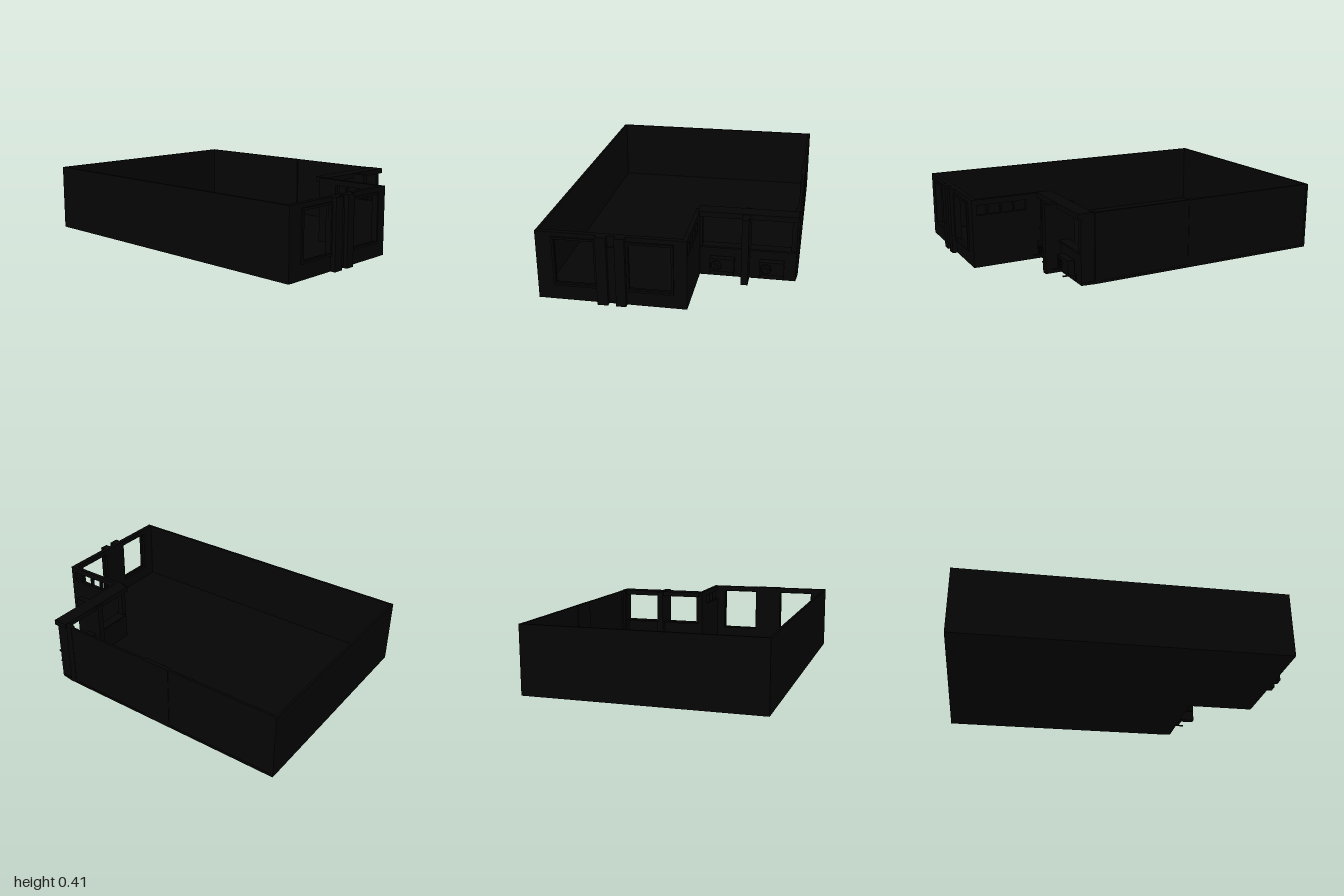
import * as THREE from 'three';

const black = new THREE.MeshStandardMaterial({ color: 0x050505 });
const H = 0.403; // wall height

export function createModel() {
  const model = new THREE.Group();

  const add = (geometry, name, parent = model) => {
    const mesh = new THREE.Mesh(geometry, black);
    mesh.name = name;
    parent.add(mesh);
    return mesh;
  };

  // Box given by its limits on each axis
  const box = (name, x0, x1, y0, y1, z0, z1, parent) => {
    const mesh = add(new THREE.BoxGeometry(x1 - x0, y1 - y0, z1 - z0), name, parent);
    mesh.position.set((x0 + x1) / 2, (y0 + y1) / 2, (z0 + z1) / 2);
    return mesh;
  };

  const rectangle = (Type, [x0, x1, y0, y1]) => new Type([
    new THREE.Vector2(x0, y0), new THREE.Vector2(x1, y0),
    new THREE.Vector2(x1, y1), new THREE.Vector2(x0, y1),
  ]);

  // Upright slab with rectangular openings
  const slab = (name, outline, openings, depth) => {
    const shape = rectangle(THREE.Shape, outline);
    openings.forEach((o) => shape.holes.push(rectangle(THREE.Path, o)));
    return add(new THREE.ExtrudeGeometry(shape, { depth, bevelEnabled: false }), name);
  };

  // L-shaped floor
  const plan = new THREE.Shape([
    [-0.7, 1], [0.695, 1], [0.695, -0.47], [0.685, -0.55], [0.13, -0.55], [0.13, -0.97], [-0.7, -0.97],
  ].map(([x, y]) => new THREE.Vector2(x, y)));
  const floor = add(new THREE.ExtrudeGeometry(plan, { depth: 0.015, bevelEnabled: false }), 'floor');
  floor.rotation.x = -Math.PI / 2;

  // Plain outer walls
  box('backWall', -0.7, 0.695, 0, H, -1, -0.985);
  box('leftSideWall', -0.7, -0.685, 0, H, -1, 0.97);
  box('rightSideWall', 0.677, 0.692, 0, H, -1, 0.47);
  box('rightWallColumn', 0.668, 0.695, 0, H, -0.3, -0.13);
  box('rightWallEndColumn', 0.665, 0.695, 0, H, 0.43, 0.47);
  box('rightCornerPost', 0.655, 0.685, 0, H, 0.47, 0.55);

  // Main front wall with two large windows
  const mainWindows = [[-0.6, -0.37, 0.095, 0.37], [-0.19, 0.05, 0.09, 0.37]];
  slab('mainFrontWall', [-0.7, 0.13, 0, H], mainWindows, 0.03).position.z = 0.94;
  mainWindows.forEach(([x0, x1, y0, y1]) => {
    const frame = slab('mainWindowFrame', [x0 - 0.008, x1 + 0.008, y0 - 0.008, y1 + 0.008],
      [[x0 + 0.005, x1 - 0.005, y0 + 0.005, y1 - 0.005]], 0.02);
    frame.position.z = 0.96;
  });

  // Entrance door between two pilasters
  box('leftPilaster', -0.36, -0.3, 0, H, 0.94, 1);
  box('rightPilaster', -0.255, -0.2, 0, H, 0.94, 1);
  box('entranceDoor', -0.3, -0.255, 0.015, 0.34, 0.96, 0.976);

  // Return wall with a row of four high windows
  const highWindows = [];
  for (let i = 0; i < 4; i++) highWindows.push([-0.95 + i * 0.08, -0.88 + i * 0.08, 0.31, 0.37]);
  const returnWall = slab('returnWall', [-0.97, -0.52, 0, H], highWindows, 0.025);
  returnWall.rotation.y = Math.PI / 2;
  returnWall.position.x = 0.105;

  // Set-back front wall, windows either side of a deep pillar
  const shopWindows = [[0.145, 0.38, 0.185, 0.372], [0.42, 0.67, 0.185, 0.372]];
  slab('setBackFrontWall', [0.13, 0.685, 0, H], shopWindows, 0.035).position.z = 0.515;
  box('deepPillar', 0.38, 0.42, 0, H, 0.465, 0.645);
  box('cornice', 0.12, 0.69, 0.375, 0.406, 0.48, 0.57);
  box('windowSill', 0.13, 0.685, 0.18, 0.19, 0.5, 0.562);

  // Two outdoor cooling units on brackets
  [0.195, 0.48].forEach((x) => {
    const unit = new THREE.Group();
    unit.name = 'coolingUnit';
    unit.position.x = x;
    model.add(unit);
    box('casing', 0, 0.14, 0.05, 0.13, 0.56, 0.6, unit);
    const ring = add(new THREE.TorusGeometry(0.03, 0.003, 6, 24), 'fanRing', unit);
    ring.position.set(0.036, 0.087, 0.6);
    const hub = add(new THREE.CylinderGeometry(0.009, 0.009, 0.006, 16), 'fanHub', unit);
    hub.rotation.x = Math.PI / 2;
    hub.position.set(0.036, 0.087, 0.602);
    for (let i = 0; i < 3; i++) {
      const bar = add(new THREE.BoxGeometry(0.06, 0.002, 0.003), 'fanGuardBar', unit);
      bar.position.set(0.036, 0.087, 0.603);
      bar.rotation.z = (i * Math.PI) / 3;
    }
    [0, 0.136].forEach((bx) => {
      box('bracketArm', bx, bx + 0.004, 0.042, 0.05, 0.55, 0.63, unit);
      box('bracketUpright', bx, bx + 0.004, 0.01, 0.05, 0.548, 0.556, unit);
    });
  });

  return model;
}
